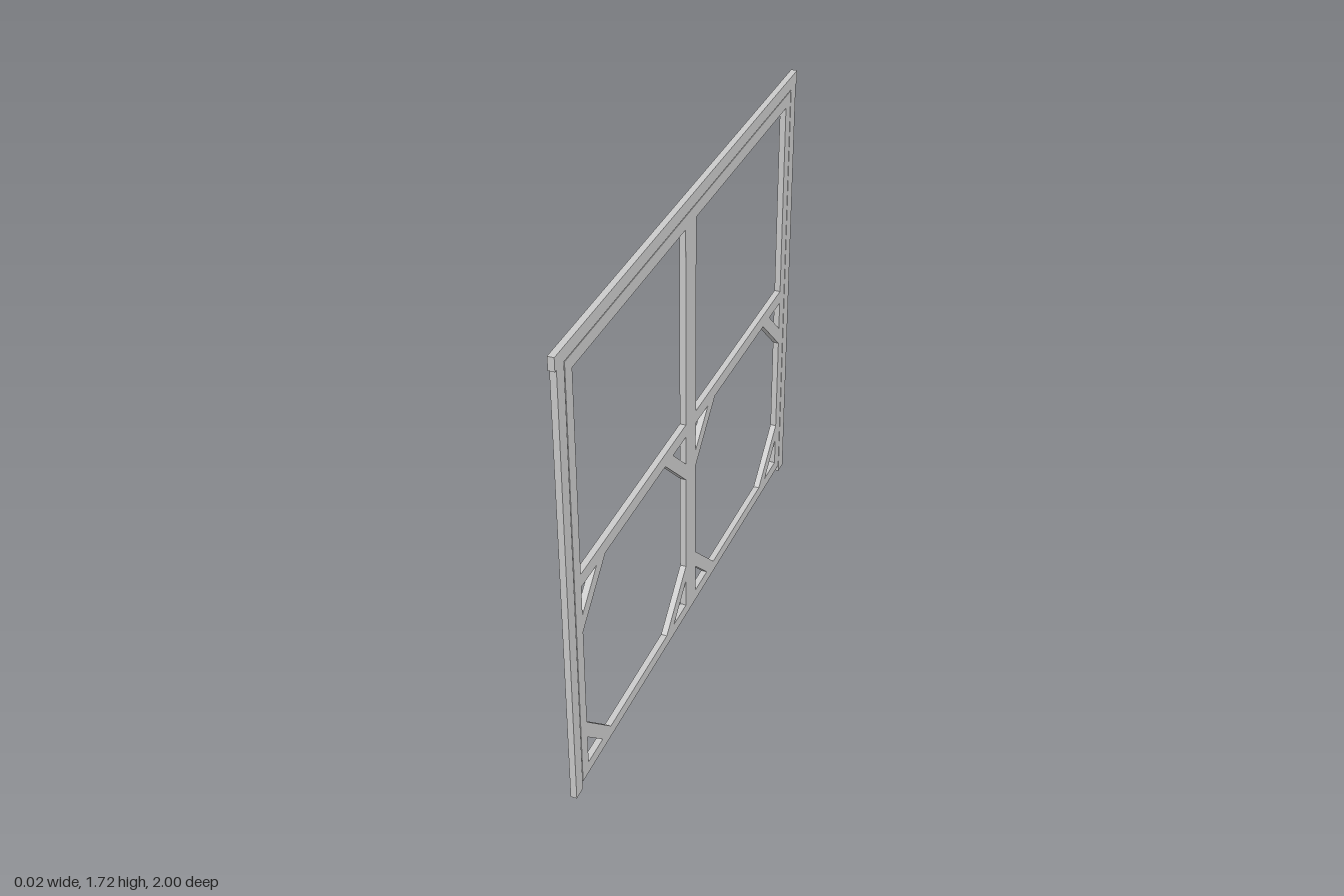
import * as THREE from 'three';

const T = 0.022; // panel thickness, along x
const material = new THREE.MeshStandardMaterial({ color: 0xcccccc, side: THREE.DoubleSide, flatShading: true });

const toPoints = (pts, s) => pts.map(([u, v]) => new THREE.Vector2(u * s, v));
const rect = (u0, u1, v0, v1) => [[u0, v0], [u1, v0], [u1, v1], [u0, v1]];

// Pressed panel: a face at +x with walls behind it, open at the back
function panel(name, outline, holes = [], s = 1) {
  const shape = new THREE.Shape(toPoints(outline, s));
  shape.holes = holes.map(h => new THREE.Path(toPoints(h, s)));
  const solid = new THREE.ExtrudeGeometry(shape, { depth: T, bevelEnabled: false });
  const p = solid.attributes.position;
  const kept = [];
  for (let i = 0; i < p.count; i += 3) {
    if ([0, 1, 2].every(k => p.getZ(i + k) < 1e-6)) continue; // leave out the back cap
    for (let k = 0; k < 3; k++) kept.push(p.getX(i + k), p.getY(i + k), p.getZ(i + k));
  }
  const geo = new THREE.BufferGeometry();
  geo.setAttribute('position', new THREE.Float32BufferAttribute(kept, 3));
  geo.translate(0, 0, -T / 2).rotateY(Math.PI / 2);
  geo.computeVertexNormals();
  const mesh = new THREE.Mesh(geo, material);
  mesh.name = name;
  return mesh;
}

export function createModel() {
  const group = new THREE.Group();
  group.name = 'doubleScreenDoor';

  // Opening limits inside one leaf
  const u0 = 0.045, u1 = 0.892;
  const low = 0.075, mid = 0.82, railTop = 0.87, top = 1.622;
  const outer = 0.18, inner = 0.113; // far and near edges of the corner braces

  // Upper window, lower eight-sided opening, and the triangles behind the braces
  const holes = [
    rect(u0, u1, railTop, top),
    [[u0 + outer, low], [u1 - outer, low], [u1, low + outer], [u1, mid - outer],
      [u1 - outer, mid], [u0 + outer, mid], [u0, mid - outer], [u0, low + outer]],
  ];
  for (const [u, du] of [[u0, inner], [u1, -inner]]) {
    for (const [v, dv] of [[low, inner], [mid, -inner]]) {
      holes.push([[u, v], [u + du, v], [u, v + dv]]);
    }
  }

  // Two mirrored door leaves and the posts beside them
  for (const s of [1, -1]) {
    const end = s > 0 ? 'Back' : 'Front';
    group.add(panel('doorLeaf' + end, rect(0, 0.938, 0.03, 1.669), holes, s));
    group.add(panel('post' + end, rect(0.942, 0.99, 0, 1.672), [], s));
  }

  // Header across the top
  group.add(panel('header', rect(-1, 1, 1.672, 1.72)));
  return group;
}
